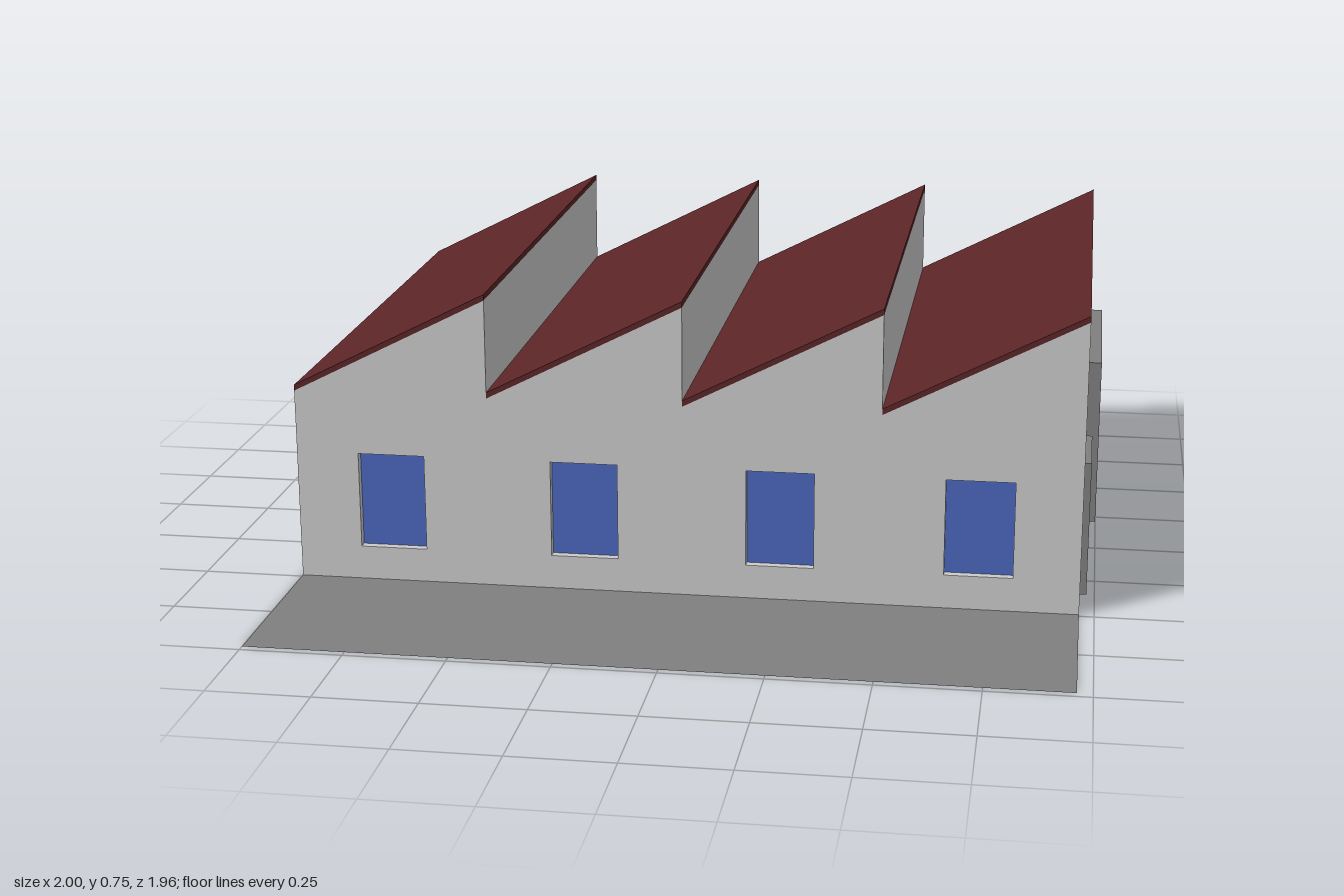
import * as THREE from 'three';

const TEETH = 4, LEFT = -1, RIGHT = 0.963, PITCH = (RIGHT - LEFT) / TEETH;
const FRONT = 0.49, BACK = -0.98, DEPTH = FRONT - BACK, MID = (FRONT + BACK) / 2;
const LOW = 0.49, HIGH = 0.74, ROOF = 0.015;
const WIN = { x0: 0.158, x1: 0.327, y0: 0.086, y1: 0.332 };

const mat = (color) => new THREE.MeshStandardMaterial({ color, side: THREE.DoubleSide, flatShading: true });

const toShape = (pts) => new THREE.Shape(pts.map(([x, y]) => new THREE.Vector2(x, y)));
const rect = (x0, y0, x1, y1) => [[x0, y0], [x1, y0], [x1, y1], [x0, y1]];
const extrude = (shape, depth) => new THREE.ExtrudeGeometry(shape, { depth, bevelEnabled: false });

// Upside-down U: a door surround standing on the ground
const surround = (a, b, top, t) => toShape([
  [a, 0], [a + t, 0], [a + t, top - t], [b - t, top - t], [b - t, 0], [b, 0], [b, top], [a, top],
]);

export function createModel() {
  const model = new THREE.Group();
  const wallMat = mat(0xcccccc), trimMat = mat(0x7f7f7f), redMat = mat(0x5b2527);
  const glassMat = mat(0x4a67be), doorMat = mat(0x191919);

  const add = (name, geometry, material, parent = model) => {
    const mesh = new THREE.Mesh(geometry, material);
    mesh.name = name;
    parent.add(mesh);
    return mesh;
  };

  // Saw-tooth end walls with window openings
  const outline = [[LEFT, 0], [RIGHT, 0]];
  for (let i = TEETH - 1; i >= 0; i--) {
    outline.push([LEFT + (i + 1) * PITCH, HIGH], [LEFT + i * PITCH, LOW]);
  }
  const gable = toShape(outline);
  for (let i = 0; i < TEETH; i++) {
    const x = LEFT + i * PITCH;
    gable.holes.push(toShape(rect(x + WIN.x0, WIN.y0, x + WIN.x1, WIN.y1)));
  }
  add('frontWall', new THREE.ShapeGeometry(gable), wallMat).position.z = FRONT;
  add('backWall', new THREE.ShapeGeometry(gable).rotateY(Math.PI).scale(-1, 1, 1), wallMat).position.z = BACK;
  model.getObjectByName('backWall').geometry = flipped(gable);

  // Plain left wall
  add('leftWall', new THREE.PlaneGeometry(DEPTH, LOW).rotateY(-Math.PI / 2), wallMat)
    .position.set(LEFT, LOW / 2, MID);

  // Roof slopes, upright risers and window shafts, one per tooth
  for (let i = 0; i < TEETH; i++) {
    const x = LEFT + i * PITCH, x2 = x + PITCH;
    const slab = toShape([[x, LOW], [x2, HIGH], [x2, HIGH + ROOF], [x, LOW + ROOF]]);
    add('roofSlope', extrude(slab, DEPTH), redMat).position.z = BACK;

    if (i < TEETH - 1) {
      add('roofRiser', new THREE.PlaneGeometry(DEPTH, HIGH - LOW).rotateY(Math.PI / 2), wallMat)
        .position.set(x2, (HIGH + LOW) / 2, MID);
    }

    const w = WIN.x1 - WIN.x0, h = WIN.y1 - WIN.y0;
    const cx = x + (WIN.x0 + WIN.x1) / 2, cy = (WIN.y0 + WIN.y1) / 2;
    const shaft = new THREE.Group();
    shaft.name = 'windowShaft';
    shaft.position.set(cx, cy, MID);
    model.add(shaft);
    for (const s of [-1, 1]) {
      add('shaftSide', new THREE.PlaneGeometry(DEPTH, h).rotateY(s * Math.PI / 2), wallMat, shaft).position.x = s * w / 2;
      add('shaftSlab', new THREE.PlaneGeometry(w, DEPTH).rotateX(-s * Math.PI / 2), wallMat, shaft).position.y = s * h / 2;
      add('windowGlass', new THREE.PlaneGeometry(w, h).rotateY(s > 0 ? 0 : Math.PI), glassMat, shaft)
        .position.z = s * (DEPTH / 2 - 0.022);
    }
  }

  // Right wall, drawn with its horizontal axis along -z and notched for both doors
  const door = { a: -0.348, b: -0.116, top: 0.344, t: 0.014, inner: 0.945, outer: 0.98 };
  const gate = { a: 0.212, b: 0.778, top: 0.446, t: 0.035, inner: 0.955, outer: 1.0 };
  const side = [[-FRONT, 0]];
  for (const d of [door, gate]) {
    side.push([d.a + d.t, 0], [d.a + d.t, d.top - d.t], [d.b - d.t, d.top - d.t], [d.b - d.t, 0]);
  }
  side.push([-BACK, 0], [-BACK, HIGH], [-FRONT, HIGH]);
  add('rightWall', new THREE.ShapeGeometry(toShape(side)).rotateY(Math.PI / 2), wallMat).position.x = RIGHT;

  // Door surrounds with pale linings
  const buildDoor = (name, d, leafMat) => {
    const g = new THREE.Group();
    g.name = name;
    g.rotation.y = Math.PI / 2;
    g.position.x = d.inner;
    model.add(g);
    const a = d.a + d.t, b = d.b - d.t, top = d.top - d.t, deep = d.outer - d.inner;
    add(name + 'Frame', extrude(surround(d.a, d.b, d.top, d.t), deep), trimMat, g);
    add(name + 'Lining', extrude(surround(a, b, top, 0.002), deep - 0.002), wallMat, g);
    add(name + 'Leaf', new THREE.ShapeGeometry(toShape(rect(a, 0, b, top))), leafMat, g);
    return { g, a, b, top };
  };
  buildDoor('sideDoor', door, doorMat);

  // Loading gate with a grid of bars
  const { g, a, b, top } = buildDoor('loadingGate', gate, redMat);
  const bar = 0.01, mid = (a + b) / 2;
  add('gateBar', new THREE.BoxGeometry(bar, top, bar), trimMat, g).position.set(mid, top / 2, 0);
  for (let i = 1; i < 4; i++) {
    add('gateBar', new THREE.BoxGeometry(b - a, bar, bar), trimMat, g).position.set(mid, (top * i) / 4, 0);
  }

  // Paved forecourt
  add('forecourt', new THREE.PlaneGeometry(RIGHT - LEFT, 0.49).rotateX(-Math.PI / 2), trimMat)
    .position.set((LEFT + RIGHT) / 2, 0, FRONT + 0.245);

  return model;
}

// Flat shape turned to face backwards without mirroring it
function flipped(shape) {
  const geometry = new THREE.ShapeGeometry(shape);
  geometry.index.array.reverse();
  geometry.computeVertexNormals();
  return geometry;
}
